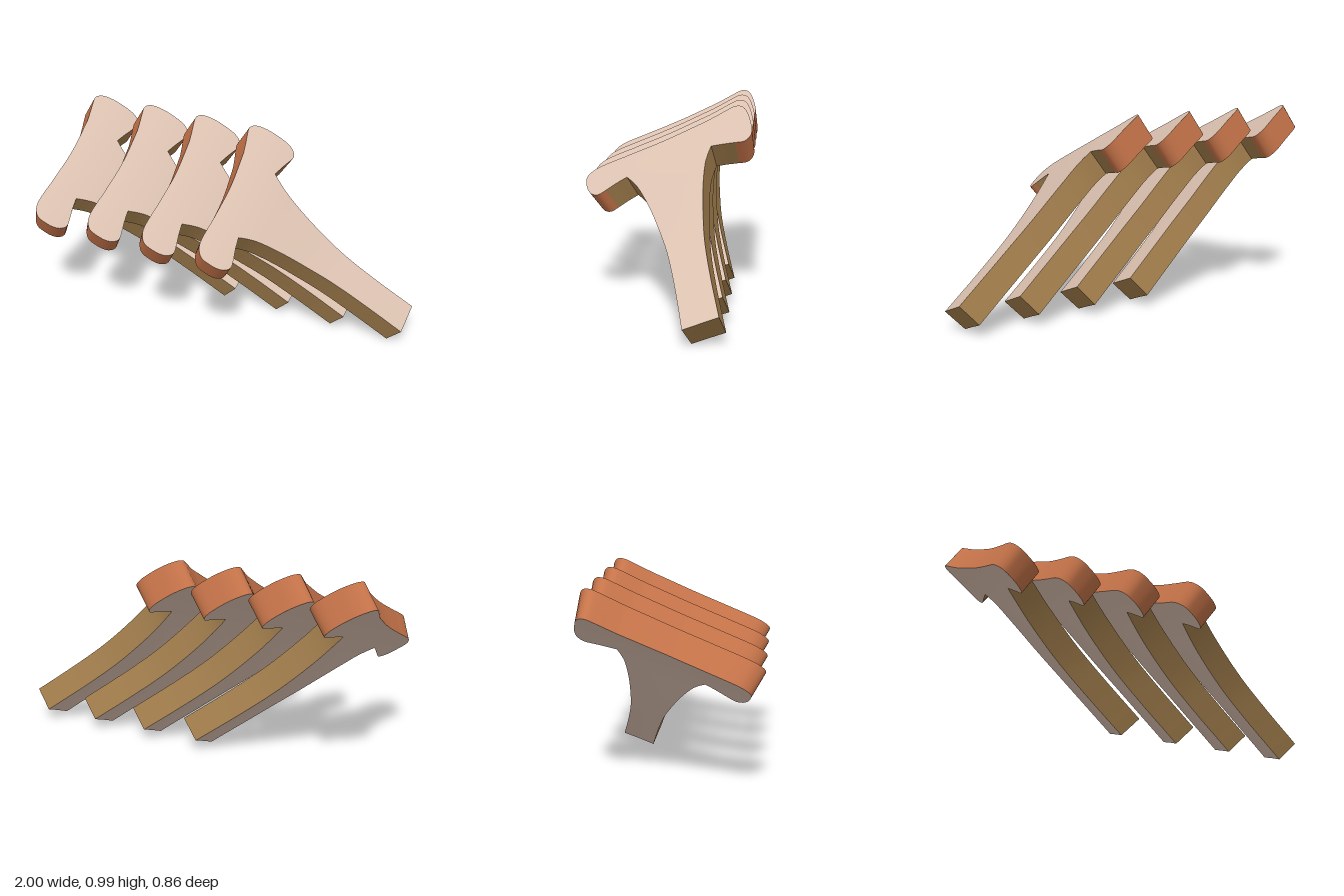
import * as THREE from 'three';
import { mergeVertices } from 'three/addons/utils/BufferGeometryUtils.js';

const bone = new THREE.MeshStandardMaterial({ color: 0xdcc2b1 });
bone.name = 'palePink';
const rim = new THREE.MeshStandardMaterial({ color: 0xca764b });
rim.name = 'terracotta';
const edge = new THREE.MeshStandardMaterial({ color: 0xa5804e });
edge.name = 'ochre';

// Plate frame: a runs along the crossbar, b up the leg, depth along the normal
const normal = new THREE.Vector3(0.65, 0.71, 0.25).normalize();
const along = new THREE.Vector3(0, 0.34, -0.94).normalize();
const up = normal.clone().cross(along).normalize();
const foot = new THREE.Vector3(1.0, 0.125, -0.2225);
const THICK = 0.13;
const PITCH = 0.317;
const JOIN = 1.0; // height where the leg meets the crossbar
const HALF = 0.228; // half width of the leg there

const curve = (xs, ys) => {
  const c = new THREE.CubicInterpolant(xs, ys, 1);
  return (t) => c.evaluate(t)[0];
};
const sag = curve([0, 0.3, 0.55, 0.8, 0.95, 1.1, 1.25], [0, -0.016, -0.025, -0.023, -0.02, -0.03, -0.055]);
const legHalf = curve(
  [0, 0.25, 0.46, 0.62, 0.74, 0.845, 0.93, 1.0],
  [0.088, 0.087, 0.095, 0.116, 0.137, 0.162, 0.19, HALF]
);
const barTop = curve([-HALF, 0, HALF], [1.155, 1.165, 1.197]);

// Lower and upper outline of each crossbar lobe, meeting at its tip
const spline = (side, heights) => new THREE.SplineCurve(
  [HALF, 0.29, 0.35, 0.395, 0.43, 0.447, 0.45].map((a, i) => new THREE.Vector2(side * a, heights[i])));
const backLow = spline(1, [JOIN, 0.985, 0.968, 0.957, 0.978, 1.02, 1.08]);
const backHigh = spline(1, [1.197, 1.213, 1.23, 1.238, 1.212, 1.15, 1.08]);
const frontLow = spline(-1, [JOIN, 0.985, 0.966, 0.957, 0.982, 1.025, 1.07]);
const frontHigh = spline(-1, [1.155, 1.155, 1.153, 1.145, 1.125, 1.1, 1.07]);

// Bent plate: map (a, b) to space on its upper (0) or lower (1) face
function place([a, b], depth) {
  const lean = (0.2 - 0.2 * a) * THREE.MathUtils.smoothstep(b, 0.55, 1.15);
  const thickDir = normal.clone()
    .addScaledVector(along, 0.45 * a)
    .addScaledVector(up, lean)
    .normalize();
  return foot.clone()
    .addScaledVector(along, a)
    .addScaledVector(up, b)
    .addScaledVector(normal, sag(b) + 0.03 * a - 0.04 * a * a)
    .addScaledVector(thickDir, -THICK * depth * (1 + 0.25 * Math.max(0, a)));
}

// Triangulate grids of points and weld them into one smooth surface
function surface(grids, flip = false) {
  const pos = [];
  const put = (...pts) => pts.forEach((p) => pos.push(p.x, p.y, p.z));
  for (const g of grids) {
    for (let i = 0; i < g.length - 1; i++) {
      for (let j = 0; j < g[i].length - 1; j++) {
        const p = g[i][j], q = g[i][j + 1], r = g[i + 1][j + 1], s = g[i + 1][j];
        if (flip) put(p, r, q, p, s, r);
        else put(p, q, r, p, r, s);
      }
    }
  }
  const geo = new THREE.BufferGeometry();
  geo.setAttribute('position', new THREE.Float32BufferAttribute(pos, 3));
  const welded = mergeVertices(geo, 1e-5);
  welded.computeVertexNormals();
  return welded;
}

const steps = (n) => Array.from({ length: n + 1 }, (_, i) => i / n);
const LOBE = 18, MID = 10;

// Leg rows from foot to crossbar
const legRows = steps(24).map((t) => {
  const h = legHalf(t * JOIN);
  return steps(MID).map((s) => [h * (2 * s - 1), t * JOIN]);
});

// Crossbar columns from front tip to back tip, each a [low, high] pair
const lobe = (low, high) => steps(LOBE).map((t) => [low.getPoint(t).toArray(), high.getPoint(t).toArray()]);
const backCols = lobe(backLow, backHigh);
const frontCols = lobe(frontLow, frontHigh);
const midCols = steps(MID).map((s) => {
  const a = HALF * (2 * s - 1);
  return [[a, JOIN], [a, barTop(a)]];
});
const barCols = [...frontCols.slice(1).reverse(), ...midCols, ...backCols.slice(1)];
const barRows = steps(8).map((t) =>
  barCols.map(([lo, hi]) => [lo[0] + (hi[0] - lo[0]) * t, lo[1] + (hi[1] - lo[1]) * t]));

function face(depth) {
  const at = (grid) => grid.map((row) => row.map((p) => place(p, depth)));
  return surface([at(legRows), at(barRows)], depth === 1);
}

// Side wall along a counter-clockwise run of outline points
function wall(points) {
  const top = points.map((p) => place(p, 0));
  const bottom = points.map((p) => place(p, 1));
  return surface([[bottom, top]]);
}

const SPLIT = 6; // lobe step where the ochre edge turns terracotta
const lows = (cols) => cols.map((c) => c[0]);
const rimPoints = [
  ...lows(backCols).slice(SPLIT),
  ...barCols.slice(1, -1).map((c) => c[1]).reverse(),
  ...lows(frontCols).slice(SPLIT).reverse(),
];

const parts = [
  ['upperFace', face(0), bone],
  ['lowerFace', face(1), bone],
  ['crossbarRim', wall(rimPoints), rim],
  ['footEnd', wall(legRows[0]), edge],
  ['backLegEdge', wall(legRows.map((r) => r[MID])), edge],
  ['frontLegEdge', wall(legRows.map((r) => r[0]).reverse()), edge],
  ['backLobeEdge', wall(lows(backCols).slice(0, SPLIT + 1)), edge],
  ['frontLobeEdge', wall(lows(frontCols).slice(0, SPLIT + 1).reverse()), edge],
];

export function createModel() {
  const model = new THREE.Group();
  model.name = 'slantedPlates';
  // Four identical T-shaped plates in a row
  for (let i = 0; i < 4; i++) {
    const plate = new THREE.Group();
    plate.name = `plate${i + 1}`;
    for (const [name, geometry, material] of parts) {
      const mesh = new THREE.Mesh(geometry, material);
      mesh.name = name;
      plate.add(mesh);
    }
    plate.position.x = (i - 3) * PITCH;
    model.add(plate);
  }
  return model;
}
